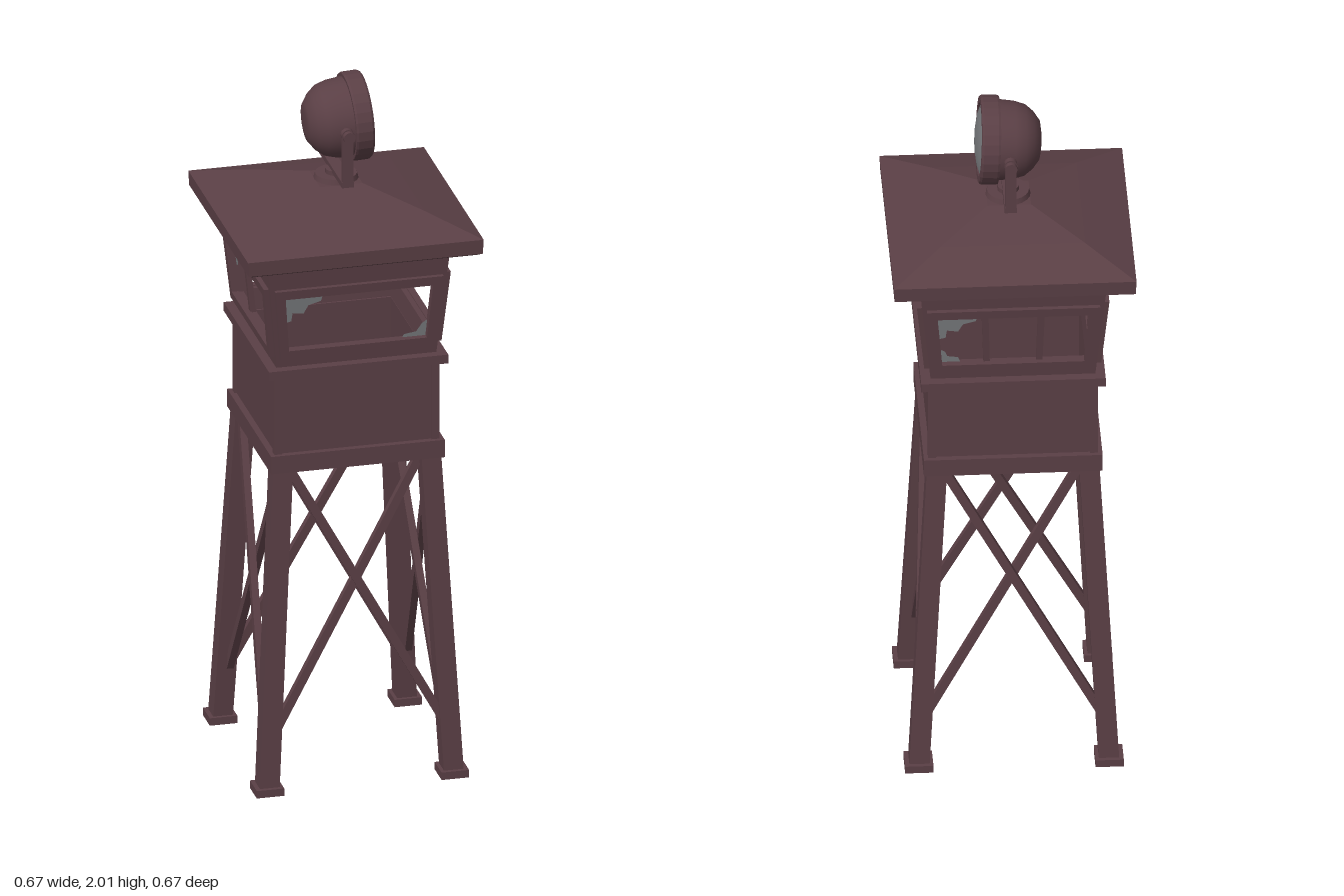
import * as THREE from 'three';

export function createModel() {
  const tower = new THREE.Group();
  tower.name = 'watchtower';
  const rust = new THREE.MeshStandardMaterial({ color: 0x5a3f45 });
  rust.name = 'rust brown';
  const glass = new THREE.MeshStandardMaterial({ color: 0x787a7d, side: THREE.DoubleSide });
  glass.name = 'dusty glass';

  const add = (parent, name, geo, mat = rust, x = 0, y = 0, z = 0) => {
    const m = new THREE.Mesh(geo, mat);
    m.name = name;
    m.position.set(x, y, z);
    parent.add(m);
    return m;
  };
  const box = (w, h, d) => new THREE.BoxGeometry(w, h, d);
  const poly = pts => new THREE.Shape(pts.map(p => new THREE.Vector2(...p)));
  const rect = (x0, y0, x1, y1) => poly([[x0, y0], [x1, y0], [x1, y1], [x0, y1]]);

  // Legs lean inward; centre line offset at a given height
  const legAt = y => 0.262 - 0.055 * y;
  // Cabin walls flare outward above the rail
  const wallAt = y => 0.226 + (y - 1.24) * 0.1;

  // Plate drawn flat as (u, y), then bent onto the flaring front wall
  const onWall = (shape, d0, d1) => {
    const g = d0 === d1 ? new THREE.ShapeGeometry(shape)
      : new THREE.ExtrudeGeometry(shape, { depth: d1 - d0, bevelEnabled: false });
    const p = g.attributes.position;
    for (let i = 0; i < p.count; i++) {
      const y = p.getY(i), h = wallAt(y);
      p.setXYZ(i, p.getX(i) * h / 0.24, y, h + d0 + p.getZ(i));
    }
    g.computeVertexNormals();
    return g;
  };
  const framed = (outer, inner) => {
    const s = rect(...outer);
    s.holes.push(rect(...inner));
    return s;
  };

  // Legs with feet, one at each corner
  for (const sx of [-1, 1]) for (const sz of [-1, 1]) {
    const g = box(0.056, 0.95, 0.056);
    const p = g.attributes.position;
    for (let i = 0; i < p.count; i++) {
      const y = p.getY(i) + 0.475;
      p.setXYZ(i, p.getX(i) + sx * legAt(y), y, p.getZ(i) + sz * legAt(y));
    }
    g.computeVertexNormals();
    add(tower, 'leg', g);
    add(tower, 'foot', box(0.078, 0.022, 0.078), rust, sx * 0.262, 0.011, sz * 0.262);
  }

  // Platform floor
  add(tower, 'platform', box(0.492, 0.052, 0.492), rust, 0, 0.966, 0);

  // Broken glass left in the window corners
  const shardSets = [
    [[-0.205, 1.47], [-0.09, 1.47], [-0.1, 1.44], [-0.135, 1.43], [-0.15, 1.405], [-0.18, 1.41], [-0.185, 1.385], [-0.205, 1.38]],
    [[0.205, 1.47], [0.075, 1.47], [0.08, 1.435], [0.12, 1.43], [0.135, 1.4], [0.175, 1.395], [0.18, 1.37], [0.205, 1.365]],
    [[-0.205, 1.3], [-0.205, 1.345], [-0.19, 1.335], [-0.185, 1.32], [-0.155, 1.315], [-0.15, 1.3]],
    [[0.205, 1.3], [0.205, 1.35], [0.19, 1.34], [0.175, 1.315], [0.14, 1.31], [0.135, 1.3]]
  ];
  const sides = [
    { name: 'front', mullions: [], shards: [0, 3] },
    { name: 'right', mullions: [], shards: [1, 2] },
    { name: 'back', mullions: [-0.075, 0.075], shards: [0, 2] },
    { name: 'left', mullions: [-0.06], shards: [0, 3] }
  ];

  sides.forEach((side, k) => {
    const s = new THREE.Group();
    s.name = side.name + 'Side';
    s.rotation.y = k * Math.PI / 2;
    tower.add(s);

    // Crossed braces between the legs
    for (const m of [-1, 1]) {
      const a = new THREE.Vector3(m * 0.235, 0.17, legAt(0.17) + m * 0.01);
      const b = new THREE.Vector3(-m * 0.19, 0.945, legAt(0.945) + m * 0.01);
      const brace = add(s, 'brace', box(0.024, a.distanceTo(b), 0.02));
      brace.position.copy(a).lerp(b, 0.5);
      brace.quaternion.setFromUnitVectors(new THREE.Vector3(0, 1, 0), b.clone().sub(a).normalize());
    }

    // Lower wall, corner batten, rails
    add(s, 'lowerWall', box(0.452, 0.25, 0.02), rust, 0, 1.11, 0.218);
    add(s, 'cornerBatten', box(0.022, 0.24, 0.022), rust, 0.223, 1.11, 0.223);
    add(s, 'rail', box(0.508, 0.026, 0.04), rust, 0, 1.236, 0.234);

    // Upper wall with window opening and raised frame
    add(s, 'upperWall', onWall(framed([-0.24, 1.24, 0.24, 1.615], [-0.205, 1.3, 0.205, 1.467]), -0.02, 0));
    add(s, 'windowFrame', onWall(framed([-0.228, 1.278, 0.228, 1.49], [-0.202, 1.303, 0.202, 1.464]), -0.005, 0.014));
    for (const u of side.mullions)
      add(s, 'mullion', onWall(rect(u - 0.009, 1.295, u + 0.009, 1.475), -0.018, -0.002));
    for (const i of side.shards)
      add(s, 'brokenGlass', onWall(poly(shardSets[i]), -0.01, -0.01), glass);
  });

  // Hipped roof: a four-sided lathe turned square
  const roofProfile = [[0, 1.64], [0.318, 1.567], [0.332, 1.575], [0.334, 1.617], [0.2, 1.662], [0.06, 1.702], [0, 1.704]];
  const roofGeo = new THREE.LatheGeometry(
    roofProfile.map(([r, y]) => new THREE.Vector2(r * Math.SQRT2, y)), 4, Math.PI / 4).toNonIndexed();
  roofGeo.computeVertexNormals();
  add(tower, 'roof', roofGeo);

  // Searchlight mount
  const light = new THREE.Group();
  light.name = 'searchlight';
  tower.add(light);
  add(light, 'mountDisc', new THREE.CylinderGeometry(0.058, 0.064, 0.022, 20), rust, 0, 1.706, 0);
  add(light, 'mountPost', new THREE.CylinderGeometry(0.03, 0.03, 0.02, 14), rust, 0, 1.72, 0);
  add(light, 'yokeBase', box(0.034, 0.016, 0.27), rust, 0, 1.733, 0);
  for (const m of [-1, 1]) {
    add(light, 'yokeArm', box(0.03, 0.15, 0.014), rust, 0, 1.805, m * 0.128);
    const knuckle = add(light, 'yokeEye', new THREE.CylinderGeometry(0.018, 0.018, 0.016, 14), rust, 0, 1.88, m * 0.128);
    const pin = add(light, 'pivotPin', new THREE.CylinderGeometry(0.01, 0.01, 0.06, 10), rust, 0, 1.88, m * 0.122);
    const knob = add(light, 'pivotKnob', new THREE.CylinderGeometry(0.017, 0.017, 0.014, 12), rust, 0, 1.88, m * 0.148);
    for (const c of [knuckle, pin, knob]) c.rotation.x = Math.PI / 2;
  }

  // Lamp head, turned about its own axis and aimed to the right
  const head = new THREE.Group();
  head.name = 'lampHead';
  head.position.y = 1.878;
  head.rotation.z = -Math.PI / 2 + 0.05;
  light.add(head);
  const turned = pts => new THREE.LatheGeometry(pts.map(p => new THREE.Vector2(...p)), 28);
  add(head, 'lampShell', turned([[0, -0.09], [0.03, -0.09], [0.055, -0.086], [0.08, -0.068], [0.099, -0.045], [0.108, -0.015], [0.113, 0.035]]));
  const rim = [[0.108, 0.028], [0.122, 0.028], [0.124, 0.034], [0.124, 0.074], [0.12, 0.08], [0.102, 0.08], [0.1, 0.066]];
  const rimGeo = turned(rim).toNonIndexed();
  rimGeo.computeVertexNormals();
  add(head, 'lampRim', rimGeo);
  add(head, 'lens', turned([[0.102, 0.074], [0.075, 0.084], [0.04, 0.09], [0, 0.092]]), glass);

  return tower;
}
